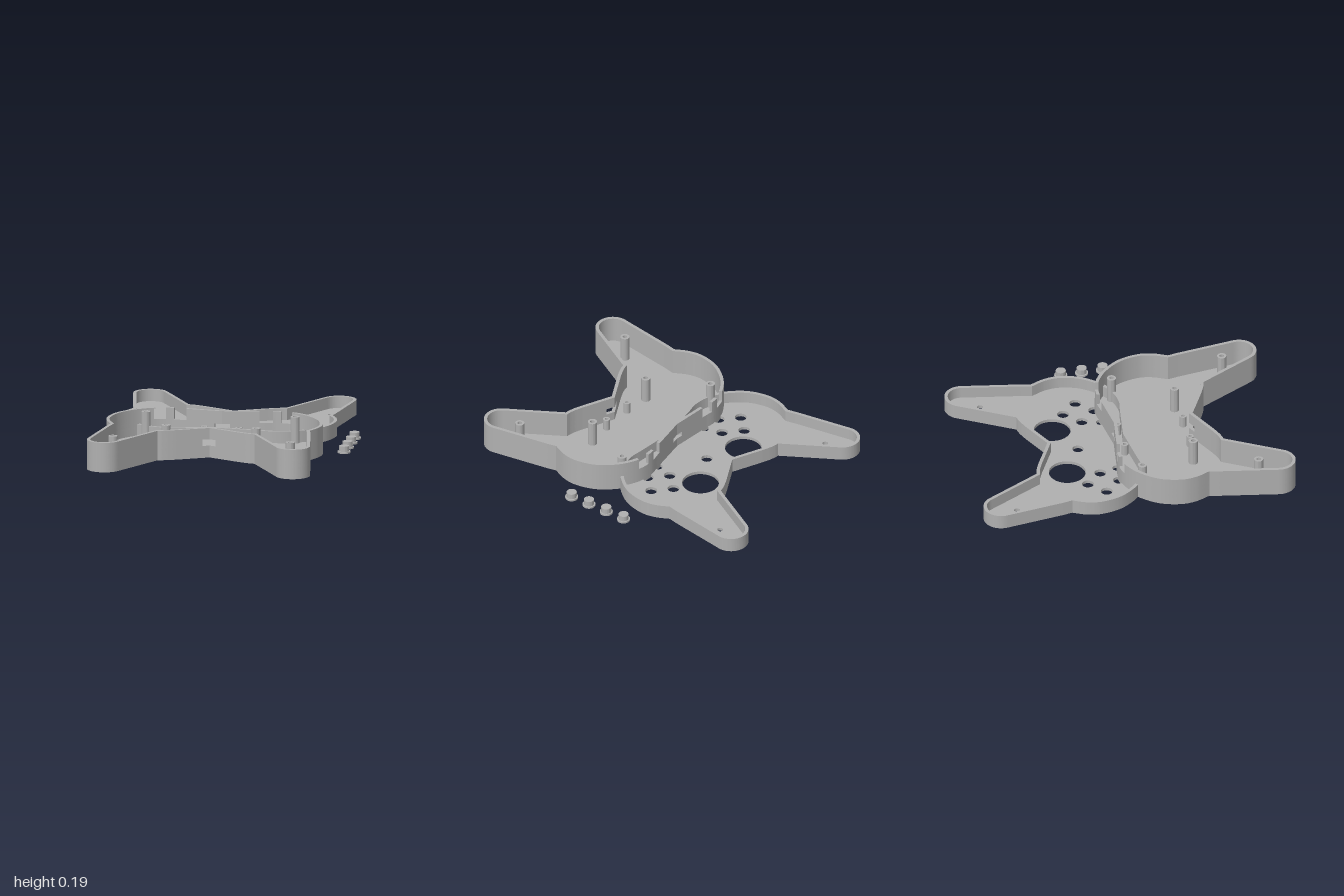
import * as THREE from 'three';
import { toCreasedNormals } from 'three/addons/utils/BufferGeometryUtils.js';

const V = (x, y) => new THREE.Vector2(x, y);
const FLOOR = 0.02, WALL = 0.021;

// Half outline of a shell, from the back centre round to the front notch, as (x, z)
function halfOutline() {
  const body = new THREE.SplineCurve([
    V(0.265, -0.075), V(0.345, -0.085), V(0.45, -0.065), V(0.56, 0.005), V(0.65, 0.12),
    V(0.686, 0.25), V(0.675, 0.35), V(0.635, 0.44)]).getPoints(48);
  const leg = [V(0.648, 0.5)];
  for (let i = 0; i <= 24; i++) {
    const a = THREE.MathUtils.lerp(-0.13, 2.6, i / 24);
    leg.push(V(0.6 + 0.11 * Math.cos(a), 0.89 + 0.11 * Math.sin(a)));
  }
  const brow = [V(0.308, 0.6), V(0.285, 0.597), V(0.25, 0.586), V(0.2, 0.565), V(0, 0.467)];
  return [V(0, -0.04), ...body, ...leg, ...brow];
}

// Full closed outline with short edges, and the matching inner edge of the wall
function outlines() {
  const half = halfOutline();
  const mirrored = half.slice(1, -1).reverse().map(p => V(-p.x, p.y));
  const raw = [...half, ...mirrored].map(p => V(p.x, -p.y));
  const outer = [];
  raw.forEach((p, i) => {
    const q = raw[(i + 1) % raw.length];
    const n = Math.ceil(p.distanceTo(q) / 0.012);
    for (let k = 0; k < n; k++) outer.push(p.clone().lerp(q, k / n));
  });
  const N = outer.length;
  const inner = outer.map((p, i) => {
    const a = p.clone().sub(outer[(i + N - 1) % N]).normalize();
    const b = outer[(i + 1) % N].clone().sub(p).normalize();
    const m = V(a.y + b.y, -a.x - b.x).normalize();
    const miter = Math.max(0.5, m.x * a.y - m.y * a.x);
    return p.clone().addScaledVector(m, WALL / miter);
  });
  return { outer, inner };
}

function slab(shape, y0, y1) {
  const g = new THREE.ExtrudeGeometry(shape, { depth: y1 - y0, bevelEnabled: false, curveSegments: 24 });
  g.rotateX(-Math.PI / 2).translate(0, y0, 0);
  return toCreasedNormals(g, 0.45);
}

export function createModel() {
  const grey = new THREE.MeshStandardMaterial({ color: 0xb0b0b0 });
  grey.name = 'grey plastic';
  const model = new THREE.Group();
  model.name = 'controllerCase';
  const add = (parent, name, geometry) => {
    const m = new THREE.Mesh(geometry, grey);
    m.name = name;
    parent.add(m);
    return m;
  };

  const { outer, inner } = outlines();

  // A tray: a floor with round holes and walls in layers, each with its own gaps
  function tray(name, flip, holes, layers) {
    const group = new THREE.Group();
    group.name = name;
    group.position.x = -0.075;
    const out = outer.map(p => V(p.x, p.y * flip));
    const inn = inner.map(p => V(p.x, p.y * flip));
    const N = out.length;

    const floor = new THREE.Shape(out);
    for (const [x, z, r] of holes) floor.holes.push(new THREE.Path().absarc(x, -z, r, 0, Math.PI * 2, true));
    add(group, 'floor', slab(floor, 0, FLOOR));

    for (const [y0, y1, gap] of layers) {
      let run = [];
      const flush = () => {
        if (run.length > 1) {
          const pts = [...run.map(i => out[i]), ...run.slice().reverse().map(i => inn[i])];
          add(group, 'wall', slab(new THREE.Shape(pts), y0, y1));
        }
        run = [];
      };
      for (let i = 0; i < N; i++) {
        const j = (i + 1) % N;
        const mid = out[i].clone().add(out[j]).multiplyScalar(0.5);
        if (gap && gap(Math.abs(mid.x), -mid.y)) { flush(); continue; }
        if (!run.length) run.push(i);
        run.push(j);
        if (i === Math.floor(N / 2)) flush();
      }
      flush();
    }
    model.add(group);
    return group;
  }

  // Deep lower shell: port slots front and back, trigger notches in the back wall
  const frontPort = (x, z) => x < 0.043 && z > 0.3;
  const backPort = (x, z) => x < 0.043 && z < 0.1;
  const triggers = (x, z) => z < 0.03 && ((x > 0.23 && x < 0.31) || (x > 0.37 && x < 0.45));
  const lower = tray('lowerShell', 1, [], [
    [FLOOR, 0.077],
    [0.077, 0.107, (x, z) => frontPort(x, z) || backPort(x, z)],
    [0.107, 0.117, frontPort],
    [0.117, 0.19, triggers],
  ]);

  // Shallow upper shell: stick, button and screw holes
  const holes = [[0, -0.27, 0.035]];
  for (const s of [-1, 1]) {
    holes.push([s * 0.23, -0.387, 0.116], [s * 0.565, -0.78, 0.018], [s * 0.25, -0.073, 0.028]);
    for (const [dx, dz] of [[0, -0.1], [0, 0.1], [-0.1, 0], [0.1, 0]])
      holes.push([s * 0.381 + dx, -0.186 + dz, 0.037]);
  }
  tray('upperShell', -1, holes, [[FLOOR, 0.095]]);

  // Hollow screw posts standing in the lower shell
  const lathe = pts => toCreasedNormals(new THREE.LatheGeometry(pts.map(p => V(...p)), 28), 0.6);
  const post = (r, ri, h) => lathe([[r, 0.01], [r, h], [ri, h], [ri, FLOOR + 0.003], [0, FLOOR + 0.003]]);
  const tall = post(0.029, 0.014, 0.187), short = post(0.022, 0.011, 0.095);
  for (const s of [-1, 1]) {
    for (const [x, z] of [[0.475, 0.045], [0.287, 0.41], [0.565, 0.772]])
      add(lower, 'screwPost', tall).position.set(s * x, 0, z);
    for (const z of [0.008, 0.428])
      add(lower, 'boardPost', short).position.set(s * 0.11, 0, z);
  }

  // Four loose flanged buttons beside the shells
  const button = lathe([[0, 0], [0.041, 0], [0.041, 0.011], [0.032, 0.011], [0.032, 0.045], [0, 0.045]]);
  for (let i = 0; i < 4; i++)
    add(model, 'button', button).position.set(0.737, 0, -0.21 + i * 0.134);

  return model;
}
